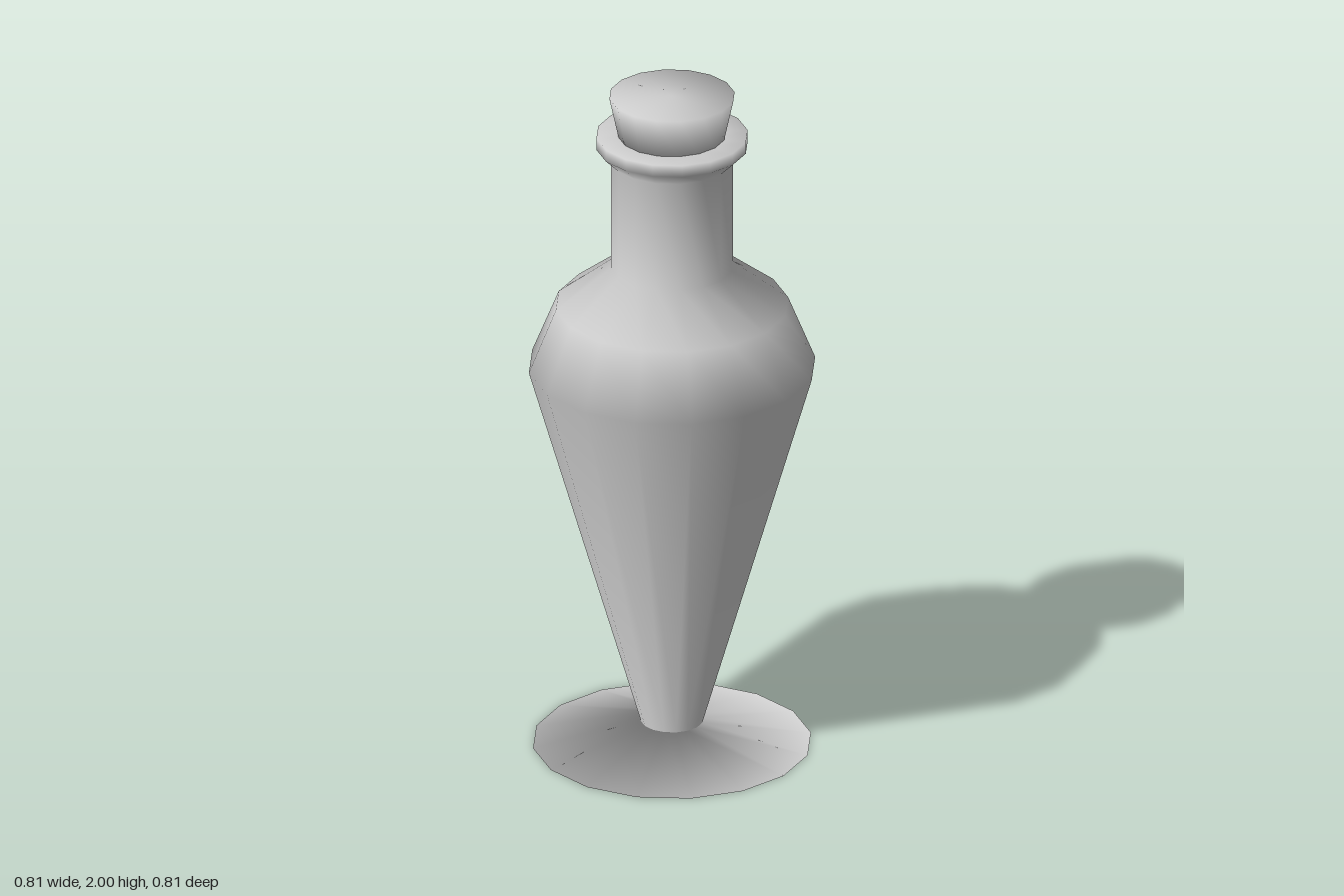
import * as THREE from 'three';

const SIDES = 16;
const material = new THREE.MeshStandardMaterial({ color: 0xcccccc });

// Turned part from a [radius, height] profile, listed bottom to top
function turned(name, profile) {
  const points = profile.map(([r, y]) => new THREE.Vector2(r, y));
  const mesh = new THREE.Mesh(new THREE.LatheGeometry(points, SIDES), material);
  mesh.name = name;
  return mesh;
}

export function createModel() {
  const group = new THREE.Group();
  group.name = 'stopperedBottle';

  // Flared foot, tapering body, shoulder, neck and lip in one smooth skin
  group.add(turned('bottle', [
    [0, 0],
    [0.395, 0],       // foot rim
    [0.088, 0.065],   // stem
    [0.407, 1.165],   // widest point
    [0.33, 1.355],    // shoulder
    [0.174, 1.475],   // neck base
    [0.174, 1.805],   // neck top
    [0.215, 1.845],   // lip
    [0.215, 1.88],
    [0.14, 1.88],     // mouth, plugged by the stopper
  ]));

  // Tapered stopper
  group.add(turned('stopper', [
    [0, 1.87],
    [0.15, 1.87],
    [0.178, 2],
    [0, 2],
  ]));

  return group;
}
